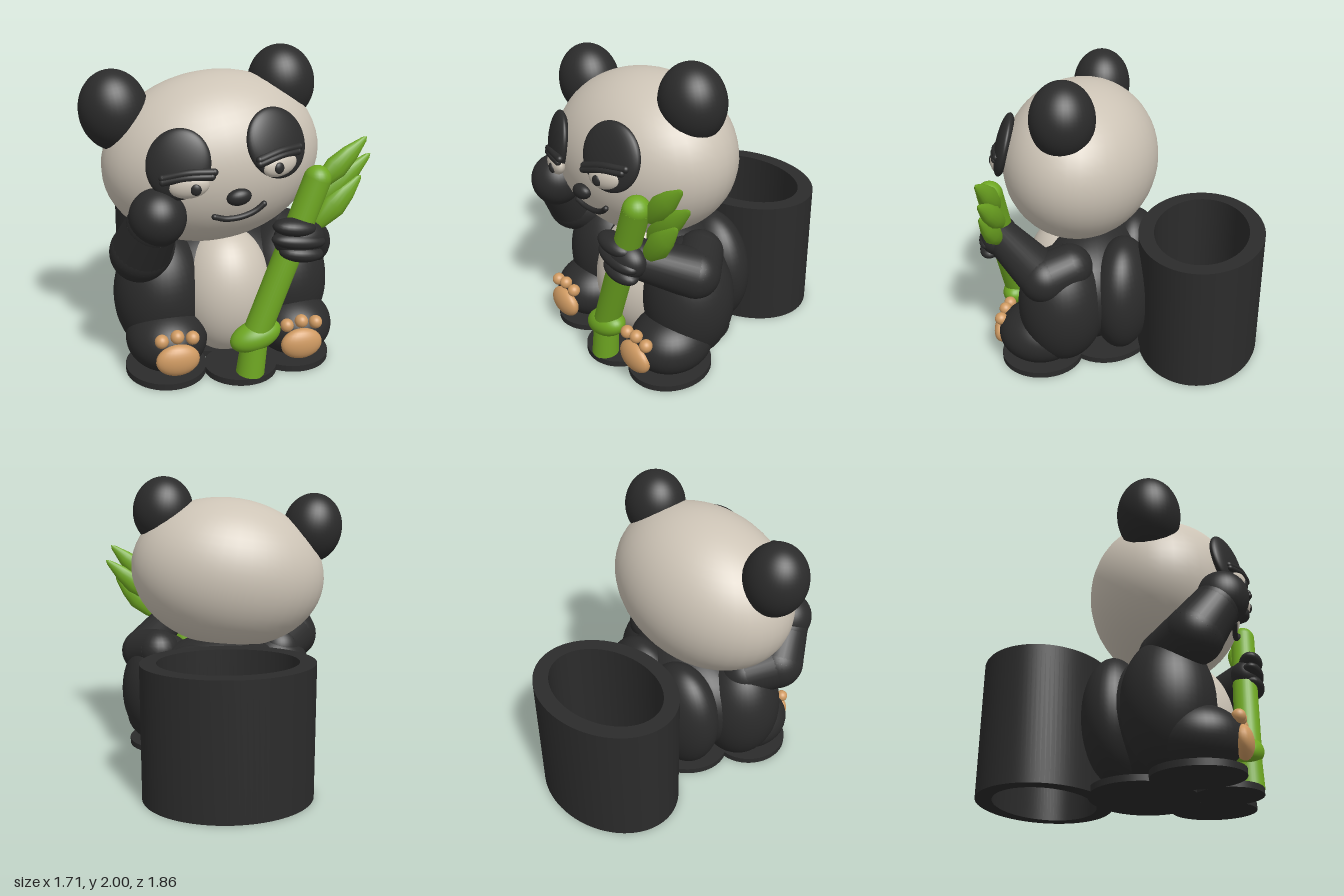
import * as THREE from 'three';
import { toCreasedNormals } from 'three/addons/utils/BufferGeometryUtils.js';

const mat = (name, color) => Object.assign(new THREE.MeshStandardMaterial({ color }), { name });
const V = (x, y, z) => new THREE.Vector3(x, y, z);

export function createModel() {
  const model = new THREE.Group();
  model.name = 'pandaPot';
  const black = mat('charcoal fur', 0x2b2b2b);
  const cream = mat('cream fur', 0xcdc4b6);
  const green = mat('bamboo green', 0x6fa822);
  const tan = mat('tan pads', 0xcf9a62);

  // Fine sphere for large masses, lighter sphere for small details
  const ball = new THREE.SphereGeometry(1, 40, 28);
  const smallBall = new THREE.SphereGeometry(1, 24, 16);
  const add = (name, geo, material, parent = model) => {
    const m = new THREE.Mesh(geo, material);
    m.name = name;
    parent.add(m);
    return m;
  };
  const blob = (name, material, pos, radii, parent = model) => {
    const m = add(name, Math.max(...radii) > 0.15 ? ball : smallBall, material, parent);
    m.position.set(...pos);
    m.scale.set(...radii);
    return m;
  };
  // Tapered rod between two points
  const rod = (name, material, a, b, ra, rb, parent = model) => {
    const d = b.clone().sub(a);
    const m = add(name, new THREE.CylinderGeometry(rb, ra, d.length(), 32), material, parent);
    m.position.copy(a).addScaledVector(d, 0.5);
    m.quaternion.setFromUnitVectors(V(0, 1, 0), d.normalize());
    return m;
  };
  // Chain of rounded joints joined by rods
  const limb = (name, joints, material) => {
    const g = new THREE.Group();
    g.name = name;
    model.add(g);
    joints.forEach(([x, y, z, r], i) => {
      blob(name + 'Joint', material, [x, y, z], [r, r, r], g);
      if (!i) return;
      const [px, py, pz, pr] = joints[i - 1];
      rod(name + 'Segment', material, V(px, py, pz), V(x, y, z), pr, r, g);
    });
  };

  // Body
  blob('torso', black, [0.02, 0.47, 0.25], [0.56, 0.43, 0.38]);
  blob('belly', cream, [0.02, 0.46, 0.42], [0.31, 0.42, 0.31]);
  for (const s of [-1, 1]) {
    blob('flank', black, [0.02 + s * 0.41, 0.46, 0.37], [0.3, 0.42, 0.29]);
    blob('rump', black, [0.025 + s * 0.21, 0.46, 0], [0.31, 0.41, 0.21]);
  }

  // Feet with pads and toes
  for (const [x, px] of [[-0.39, -0.38], [0.45, 0.415]]) {
    blob('foot', black, [x, 0.225, 0.53], [0.255, 0.205, 0.28]);
    blob('footPad', tan, [px, 0.195, 0.8], [0.135, 0.1, 0.06]);
    for (const i of [-1, 0, 1])
      blob('toePad', tan, [px + i * 0.095, 0.34 - Math.abs(i) * 0.017, 0.785], [0.042, 0.042, 0.042]);
  }

  // Flat base discs
  for (const [x, z, rx, rz] of [[-0.395, 0.53, 0.255, 0.28], [0.43, 0.53, 0.26, 0.28],
    [0.06, 0.66, 0.23, 0.22], [0.02, 0.14, 0.44, 0.35]]) {
    const disc = add('baseDisc', new THREE.CylinderGeometry(1, 1, 0.04, 48), black);
    disc.position.set(x, 0.02, z);
    disc.scale.set(rx, 1, rz);
  }

  // Arms, paws and gripping fingers
  limb('rightArm', [[-0.42, 0.76, 0.36, 0.16], [-0.55, 0.82, 0.56, 0.185], [-0.5, 1.02, 0.69, 0.155]], black);
  blob('rightPaw', black, [-0.475, 1.085, 0.73], [0.168, 0.172, 0.168]);
  limb('leftArm', [[0.46, 0.77, 0.3, 0.15], [0.57, 0.735, 0.44, 0.16], [0.39, 0.9, 0.77, 0.12]], black);
  blob('leftPaw', black, [0.37, 0.9, 0.8], [0.16, 0.12, 0.11]);
  [[0.32, 0.99, 0.135], [0.35, 0.905, 0.17], [0.37, 0.825, 0.14]].forEach(([x, y, r]) => {
    blob('finger', black, [x, y, 0.845], [r, 0.055, 0.08]).rotation.z = -0.12;
  });

  // Head, tilted sideways
  const tilt = 0.15, c = [-0.045, 1.325, 0.325], R = [0.69, 0.53, 0.507];
  blob('head', cream, c, R).rotation.z = tilt;
  blob('rightEar', black, [-0.645, 1.64, 0.32], [0.21, 0.245, 0.2]).rotation.z = 0.15;
  blob('leftEar', black, [0.41, 1.765, 0.32], [0.21, 0.237, 0.2]).rotation.z = 0.15;

  // Point and outward normal on the face at front coordinates x, y
  const face = (x, y, lift) => {
    const axis = V(0, 0, 1);
    const p = V(x - c[0], y - c[1], 0).applyAxisAngle(axis, -tilt);
    p.z = R[2] * Math.sqrt(Math.max(0, 1 - (p.x / R[0]) ** 2 - (p.y / R[1]) ** 2));
    const n = V(p.x / R[0] ** 2, p.y / R[1] ** 2, p.z / R[2] ** 2).normalize().applyAxisAngle(axis, tilt);
    p.applyAxisAngle(axis, tilt).add(V(...c));
    p.z += lift;
    return { p, n };
  };
  const feature = (name, material, x, y, radii, lift, roll = tilt) => {
    const { p, n } = face(x, y, lift);
    const m = blob(name, material, p.toArray(), radii);
    m.quaternion.setFromUnitVectors(V(0, 0, 1), n).multiply(
      new THREE.Quaternion().setFromAxisAngle(V(0, 0, 1), roll));
  };
  // Rounded line following the face
  const line = (name, points, r, lift) => {
    const pts = points.map(([x, y]) => face(x, y, lift).p);
    add(name, new THREE.TubeGeometry(new THREE.CatmullRomCurve3(pts), 32, r, 12), black);
    for (const p of [pts[0], pts[pts.length - 1]]) blob(name + 'End', black, p.toArray(), [r, r, r]);
  };

  // Face
  feature('rightEyePatch', black, -0.36, 1.4, [0.185, 0.205, 0.055], 0, -0.3);
  feature('leftEyePatch', black, 0.22, 1.49, [0.2, 0.21, 0.055], 0, 0.5);
  for (const [ex, ey, px] of [[-0.315, 1.285, -0.285], [0.225, 1.375, 0.205]]) {
    feature('eye', cream, ex, ey, [0.12, 0.072, 0.05], 0.03);
    feature('pupil', black, px, ey - 0.01, [0.032, 0.034, 0.018], 0.073);
    line('eyelid', [[ex - 0.14, ey + 0.022], [ex, ey + 0.055], [ex + 0.12, ey + 0.06]], 0.021, 0.06);
    line('brow', [[ex - 0.14, ey + 0.045], [ex, ey + 0.08], [ex + 0.135, ey + 0.085]], 0.022, 0.055);
  }
  feature('nose', black, -0.02, 1.2, [0.075, 0.05, 0.045], 0.015);
  line('mouth', [[-0.15, 1.075], [-0.08, 1.055], [0.02, 1.06], [0.1, 1.09], [0.15, 1.13]], 0.018, 0.012);

  // Bamboo stalk
  const z = 0.795;
  limb('bambooStalk', [[0.11, 0.29, z, 0.085], [0.475, 1.26, z, 0.083]], green);
  rod('bambooFoot', green, V(0.08, 0.04, z), V(0.11, 0.3, z), 0.088, 0.08);
  blob('bambooNode', green, [0.11, 0.29, z], [0.165, 0.09, 0.1]).rotation.z = 0.3;

  // Bamboo leaves
  const profile = [[0, 0], [0.6, 0.15], [1, 0.45], [0.75, 0.7], [0.25, 0.95], [0, 1]]
    .map(([r, t]) => new THREE.Vector2(r, t));
  const leafGeo = new THREE.LatheGeometry(profile, 16);
  for (const [ax, ay, bx, by, w, lz] of [[0.46, 1.16, 0.81, 1.485, 0.075, 0.74],
    [0.46, 1.04, 0.85, 1.375, 0.075, 0.72], [0.47, 0.92, 0.78, 1.25, 0.08, 0.75]]) {
    const leaf = add('bambooLeaf', leafGeo, green);
    leaf.position.set(ax, ay, lz);
    leaf.rotation.z = -Math.atan2(bx - ax, by - ay);
    leaf.scale.set(w, Math.hypot(bx - ax, by - ay), 0.05);
  }

  // Open oval pot behind the back
  const ring = new THREE.Shape().absellipse(0.02, 0.51, 0.55, 0.425, 0, Math.PI * 2);
  ring.holes.push(new THREE.Path().absellipse(0.02, 0.51, 0.445, 0.32, 0, Math.PI * 2));
  const pot = new THREE.ExtrudeGeometry(ring, { depth: 0.885, bevelEnabled: false, curveSegments: 48 });
  pot.rotateX(-Math.PI / 2);
  add('pot', toCreasedNormals(pot, 0.6), black);

  return model;
}
